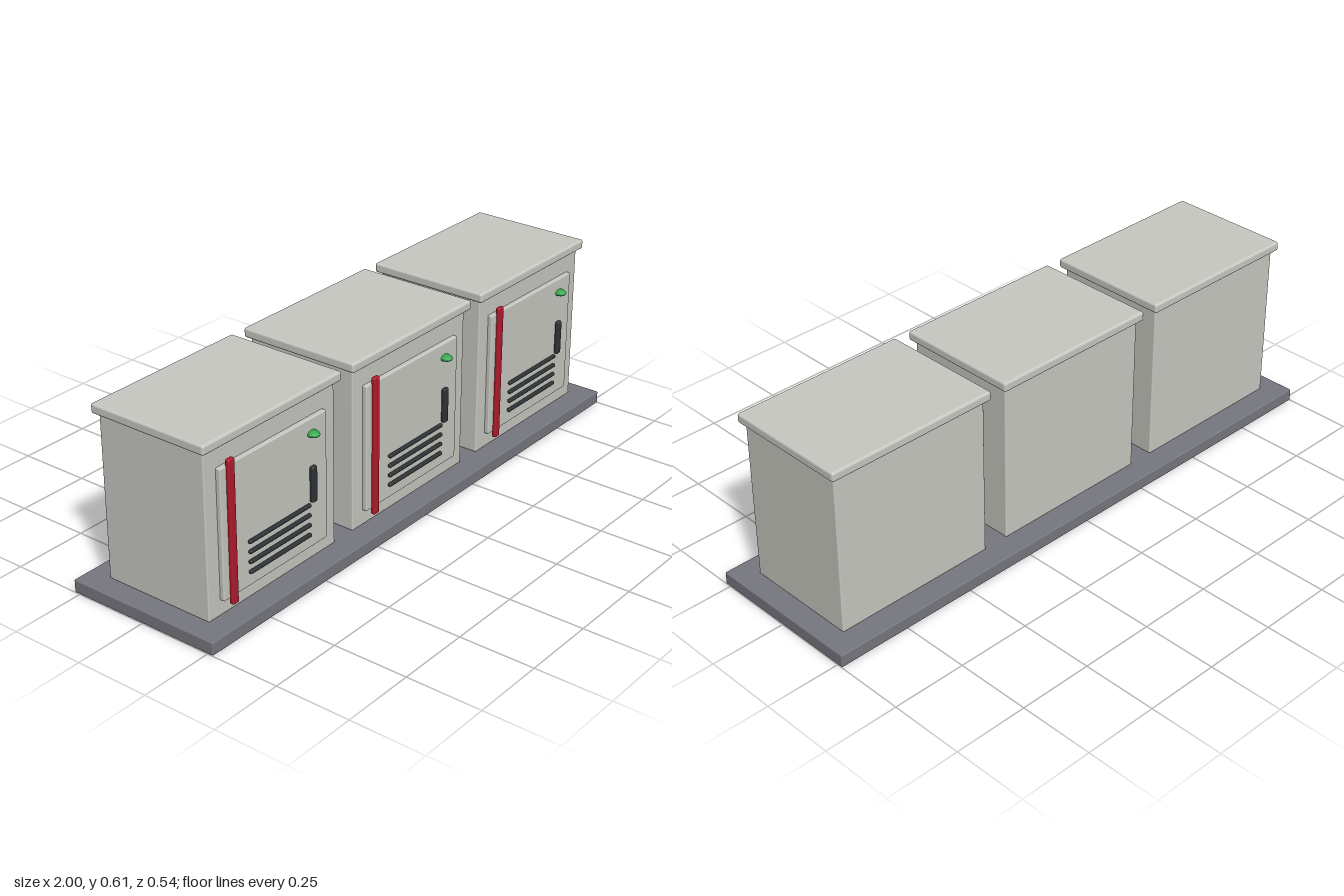
import * as THREE from 'three';
import { RoundedBoxGeometry } from 'three/addons/geometries/RoundedBoxGeometry.js';

function material(name, color) {
  const m = new THREE.MeshStandardMaterial({ color });
  m.name = name;
  return m;
}

export function createModel() {
  const shell = material('warm light grey', 0xc8c9c2);
  const concrete = material('plinth grey', 0x777780);
  const red = material('signal red', 0xb01a2c);
  const dark = material('dark grey', 0x2e3335);
  const green = material('lamp green', 0x35a850);

  // Rounded block given by its centre x and its y and z ranges
  function block(name, mat, x, width, [y0, y1], [z0, z1], radius) {
    const geometry = new RoundedBoxGeometry(width, y1 - y0, z1 - z0, 3, radius);
    const mesh = new THREE.Mesh(geometry, mat);
    mesh.name = name;
    mesh.position.set(x, (y0 + y1) / 2, (z0 + z1) / 2);
    return mesh;
  }

  function cabinet() {
    const g = new THREE.Group();
    g.name = 'cabinet';
    g.add(
      block('body', shell, 0, 0.562, [0.043, 0.59], [-0.194, 0.194], 0.004),
      block('lid', shell, 0, 0.594, [0.581, 0.613], [-0.211, 0.211], 0.008),
      block('door', shell, -0.002, 0.46, [0.093, 0.515], [0.185, 0.209], 0.004),
      block('redStripe', red, -0.193, 0.027, [0.072, 0.536], [0.204, 0.22], 0.006),
      block('handle', dark, 0.159, 0.023, [0.245, 0.363], [0.207, 0.223], 0.006)
    );

    // Vent slats
    for (let i = 0; i < 4; i++) {
      const y = 0.141 + i * 0.033;
      g.add(block('ventSlat', dark, 0.009, 0.272, [y - 0.006, y + 0.006], [0.208, 0.221], 0.005));
    }

    // Status lamp
    const lamp = new THREE.Mesh(new THREE.SphereGeometry(1, 24, 16), green);
    lamp.name = 'statusLamp';
    lamp.scale.set(0.019, 0.011, 0.024);
    lamp.position.set(0.16, 0.467, 0.213);
    g.add(lamp);
    return g;
  }

  const model = new THREE.Group();
  model.name = 'cabinetRow';
  model.add(block('plinth', concrete, 0, 2, [0, 0.043], [-0.27, 0.27], 0.004));
  for (const x of [-0.648, 0, 0.648]) {
    const c = cabinet();
    c.position.x = x;
    model.add(c);
  }
  return model;
}
